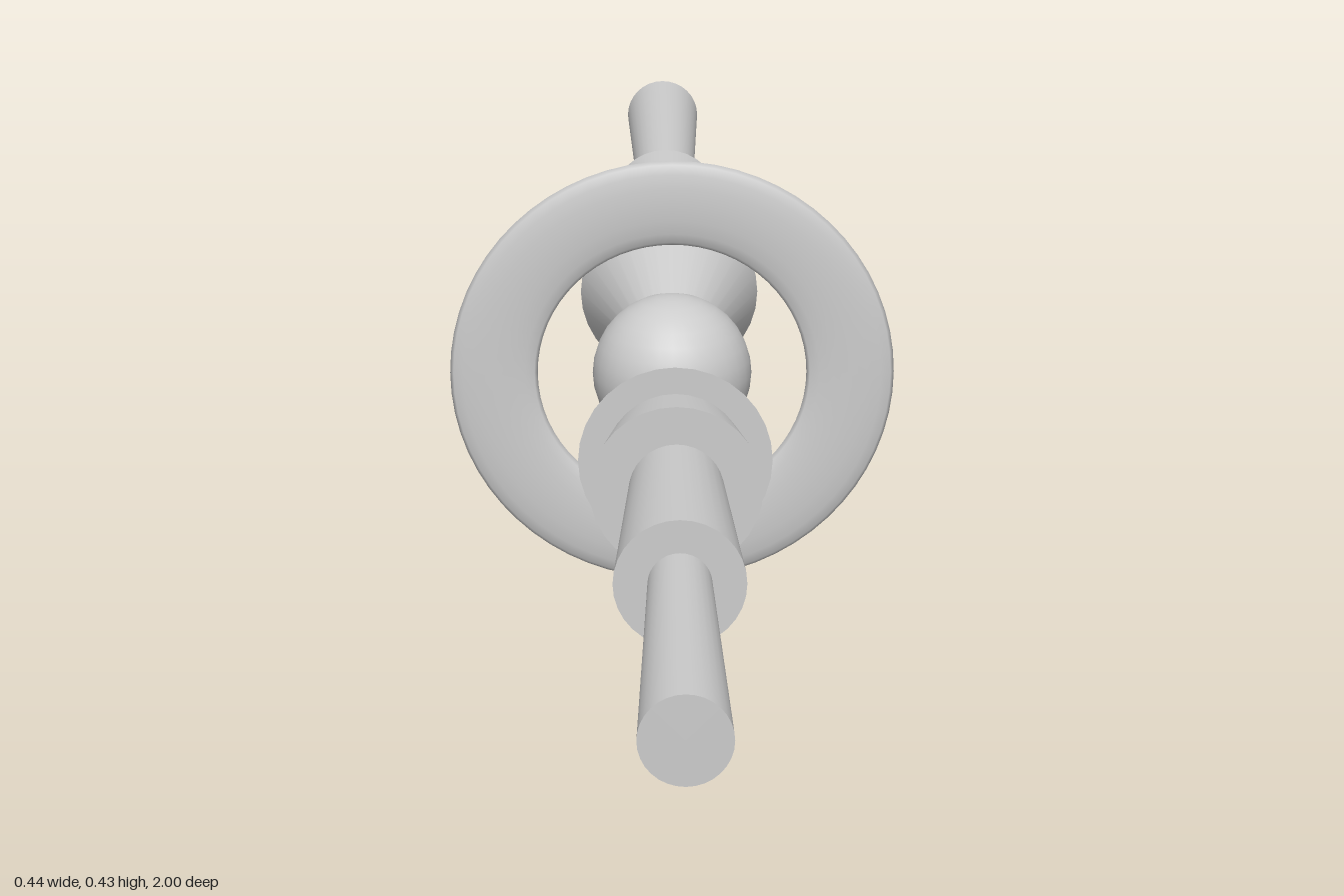
import * as THREE from 'three';

const CENTER_Y = 0.216;

export function createModel() {
  const model = new THREE.Group();
  const material = new THREE.MeshStandardMaterial({ color: 0xcccccc });

  const add = (name, geometry, parent) => {
    const mesh = new THREE.Mesh(geometry, material);
    mesh.name = name;
    parent.add(mesh);
    return mesh;
  };

  // Central ball
  add('coreSphere', new THREE.SphereGeometry(0.078, 32, 16), model).position.y = CENTER_Y;

  // Flat ring around the ball: a torus squashed along its axis
  const ring = add('ring', new THREE.TorusGeometry(0.175, 0.043, 16, 64), model);
  ring.position.y = CENTER_Y;
  ring.scale.set(1, 0.985, 0.2);

  // Nested tapering sections, widening outwards: [name, startZ, startRadius, endZ, endRadius]
  const sections = [
    ['innerCone', 0.06, 0.023, 0.278, 0.091],
    ['collarCone', 0.2, 0.052, 0.364, 0.08],
    ['middleSleeve', 0.28, 0.039, 0.622, 0.059],
    ['outerRod', 0.54, 0.026, 1, 0.04],
  ];

  // One arm to the front, the same arm turned to the back
  for (const [name, turn] of [['frontArm', 0], ['backArm', Math.PI]]) {
    const arm = new THREE.Group();
    arm.name = name;
    for (const [part, z0, r0, z1, r1] of sections) {
      const geometry = new THREE.CylinderGeometry(r1, r0, z1 - z0, 32);
      geometry.rotateX(Math.PI / 2).translate(0, 0, (z0 + z1) / 2);
      add(part, geometry, arm);
    }
    arm.position.y = CENTER_Y;
    arm.rotation.y = turn;
    model.add(arm);
  }

  return model;
}
